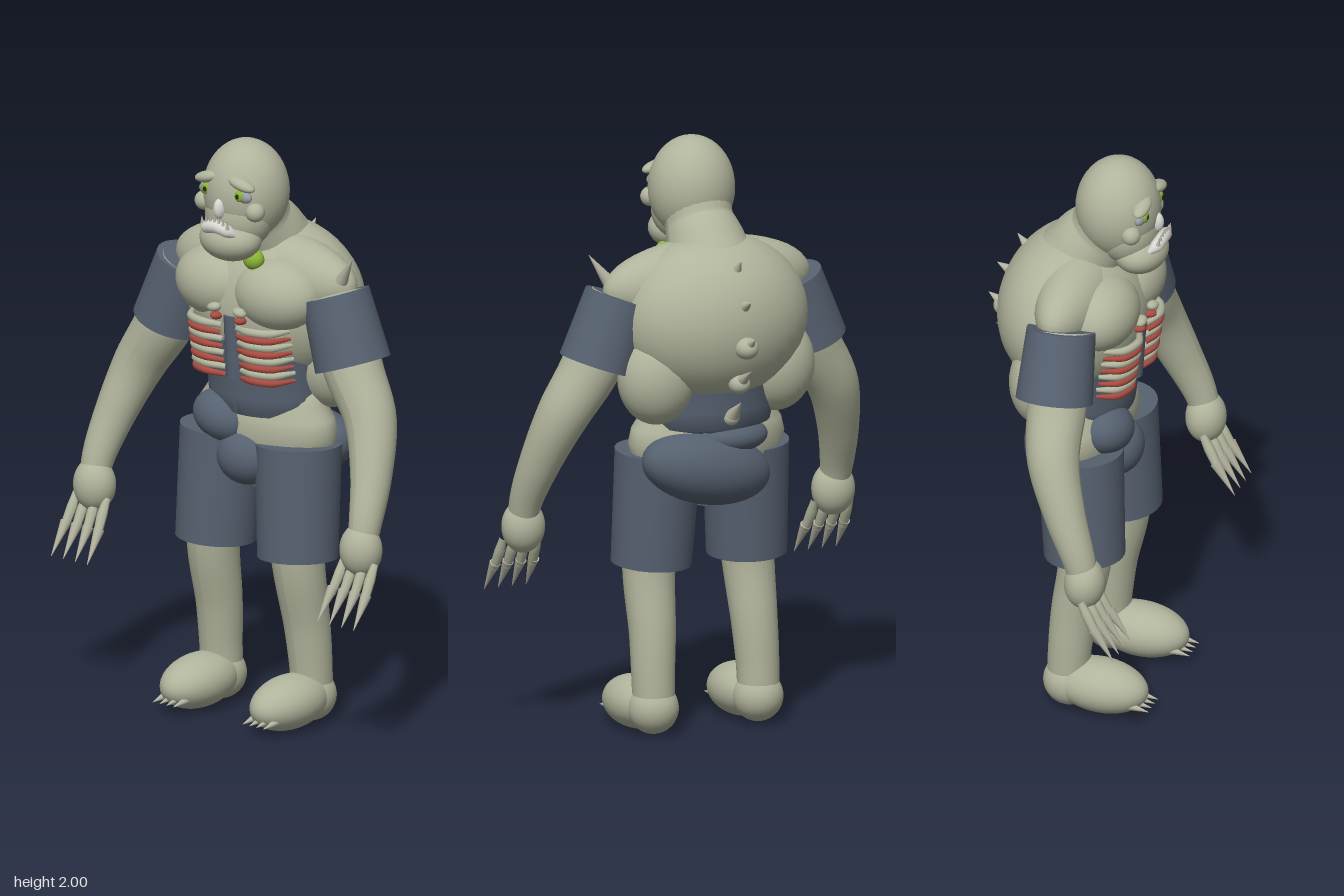
import * as THREE from 'three';

const mat = (name, color) => Object.assign(new THREE.MeshStandardMaterial({ color }), { name });

export function createModel() {
  const skin = mat('skin', 0xb1b49c), cloth = mat('cloth', 0x566170), red = mat('flesh red', 0xa84a40);
  const green = mat('slime green', 0x8cb436), white = mat('tooth white', 0xd8d6d2);
  const bone = mat('bone', 0xb4b3a0), dark = mat('pupil', 0x24261f), socket = mat('eye grey', 0x9aa0a4);
  const root = new THREE.Group();
  root.name = 'ghoul';

  const add = (name, geo, m) => {
    const mesh = new THREE.Mesh(geo, m);
    mesh.name = name;
    root.add(mesh);
    return mesh;
  };
  const ball = (name, m, [x, y, z], [a, b, c], tilt = 0) => {
    const mesh = add(name, new THREE.SphereGeometry(1, 36, 24), m);
    mesh.position.set(x, y, z);
    mesh.scale.set(a, b, c);
    mesh.rotation.z = tilt;
    return mesh;
  };
  // Tapered cylinder from a to b
  const rod = (name, m, a, b, ra, rb, sides = 32) => {
    const p = new THREE.Vector3(...a), q = new THREE.Vector3(...b), d = q.clone().sub(p);
    const mesh = add(name, new THREE.CylinderGeometry(rb, ra, d.length(), sides), m);
    mesh.position.copy(p).add(q).multiplyScalar(0.5);
    mesh.quaternion.setFromUnitVectors(new THREE.Vector3(0, 1, 0), d.normalize());
    return mesh;
  };
  // Smooth tube through [x, y, z, radius] stations
  const limb = (name, m, pts, seg = 32, sides = 24) => {
    const curve = new THREE.CatmullRomCurve3(pts.map(p => new THREE.Vector3(p[0], p[1], p[2])));
    const geo = new THREE.TubeGeometry(curve, seg, 1, sides);
    const pos = geo.attributes.position, v = new THREE.Vector3();
    for (let i = 0; i <= seg; i++) {
      const c = curve.getPointAt(i / seg);
      const t = curve.getUtoTmapping(i / seg) * (pts.length - 1);
      const k = Math.min(Math.floor(t), pts.length - 2);
      const r = THREE.MathUtils.lerp(pts[k][3], pts[k + 1][3], t - k);
      for (let j = 0; j <= sides; j++) {
        const n = i * (sides + 1) + j;
        v.fromBufferAttribute(pos, n).sub(c).multiplyScalar(r).add(c);
        pos.setXYZ(n, v.x, v.y, v.z);
      }
    }
    geo.computeVertexNormals();
    return add(name, geo, m);
  };
  // Elliptical body section from [radius, y] profile
  const section = (name, m, profile, depth, z) => {
    const geo = new THREE.LatheGeometry(profile.map(p => new THREE.Vector2(...p)), 48);
    geo.scale(1, 1, depth);
    geo.computeVertexNormals();
    add(name, geo, m).position.z = z;
  };

  // Torso
  ball('hump', skin, [0, 1.42, -0.04], [0.33, 0.28, 0.245]);
  ball('shoulders', skin, [0, 1.53, 0.01], [0.38, 0.15, 0.13]);
  section('shirt', cloth, [[0, 1.04], [0.18, 1.045], [0.215, 1.06], [0.225, 1.12], [0.225, 1.2],
    [0.25, 1.3], [0.26, 1.38], [0.2, 1.42], [0, 1.43]], 0.76, -0.005);
  section('hips', skin, [[0, 0.76], [0.08, 0.78], [0.18, 0.84], [0.26, 0.92], [0.282, 1.0],
    [0.27, 1.05], [0.235, 1.1], [0.22, 1.16], [0, 1.17]], 0.52, 0.01);
  ball('bellyPatch', cloth, [-0.1, 1.025, 0.11], [0.115, 0.085, 0.09], -0.25);
  ball('frontPatch', cloth, [0, 0.905, 0.11], [0.11, 0.098, 0.09]);
  ball('seatPatch', cloth, [0.05, 0.92, -0.085], [0.235, 0.125, 0.125], 0.22);
  ball('smallSeatPatch', cloth, [-0.04, 1.02, -0.09], [0.13, 0.06, 0.09]);
  rod('sternum', cloth, [0, 1.19, 0.165], [0, 1.41, 0.18], 0.034, 0.034, 16);

  for (const s of [-1, 1]) {
    ball('pectoral', skin, [s * 0.125, 1.485, 0.1], [0.165, 0.125, 0.125]);
    ball('flank', skin, [s * 0.22, 1.24, -0.06], [0.135, 0.16, 0.12]);

    // Exposed ribs with flesh between them
    for (let i = 0; i < 4; i++) {
      const y = 1.375 - i * 0.05, z = 0.222 - i * 0.008;
      const bar = (name, m, dy, r) => limb(name, m, [[s * 0.035, y + dy - 0.005, z - 0.02, r * 0.7],
        [s * 0.1, y + dy, z, r], [s * 0.17, y + dy, z - 0.025, r], [s * 0.21, y + dy + 0.006, z - 0.085, r * 0.5]], 16, 10);
      bar('rib', skin, 0, 0.014);
      bar('ribFlesh', red, -0.026, 0.012);
    }
    ball('topRib', skin, [s * 0.055, 1.432, 0.215], [0.026, 0.016, 0.02], s * -0.2);
    ball('topRibFlesh', red, [s * 0.052, 1.402, 0.205], [0.02, 0.014, 0.025]);

    // Arms
    rod('sleeve', cloth, [s * 0.395, 1.28, 0.035], [s * 0.315, 1.505, 0.03], 0.129, 0.115);
    limb('arm', skin, [[s * 0.31, 1.5, 0.03, 0.1], [s * 0.41, 1.27, 0.05, 0.1], [s * 0.5, 1.12, 0.07, 0.088],
      [s * 0.555, 0.95, 0.13, 0.07], [s * 0.58, 0.8, 0.19, 0.055], [s * 0.58, 0.7, 0.215, 0.045]]);
    ball('hand', skin, [s * 0.578, 0.715, 0.21], [0.074, 0.09, 0.068]);
    for (let i = 0; i < 4; i++) {
      const x = s * (0.515 + i * 0.044), tip = s * (0.5 + i * 0.052);
      const mid = (x + tip) / 2;
      limb('finger', skin, [[x, 0.68, 0.22, 0.012], [x, 0.63, 0.245, 0.018], [mid, 0.565, 0.28, 0.015]], 10, 12);
      rod('fingerClaw', bone, [mid, 0.585, 0.27], [tip, 0.48, 0.34], 0.019, 0.001, 14);
    }

    // Legs
    rod('trouserLeg', cloth, [s * 0.178, 0.58, 0.062], [s * 0.163, 0.965, 0.04], 0.135, 0.145);
    limb('leg', skin, [[s * 0.17, 0.8, 0.07, 0.1], [s * 0.185, 0.55, 0.065, 0.088], [s * 0.19, 0.35, 0.03, 0.078],
      [s * 0.195, 0.2, 0.015, 0.072], [s * 0.195, 0.1, 0.01, 0.07]]);
    ball('heel', skin, [s * 0.195, 0.095, 0.015], [0.085, 0.087, 0.088]);
    ball('foot', skin, [s * 0.195, 0.095, 0.125], [0.102, 0.09, 0.165]).rotation.x = 0.05;
    for (let i = 0; i < 4; i++) {
      const x = s * (0.15 + i * 0.03);
      rod('toeClaw', bone, [x, 0.06, 0.245], [x, 0.05, 0.31], 0.014, 0.001, 12);
    }

    // Face pairs
    ball('brow', skin, [s * 0.072, 1.882, 0.225], [0.055, 0.02, 0.028], s * -0.25);
    ball('eyeSocket', socket, [s * 0.07, 1.843, 0.221], [0.042, 0.025, 0.02], s * -0.2);
    ball('iris', green, [s * 0.07, 1.843, 0.236], [0.02, 0.02, 0.01]);
    ball('pupil', dark, [s * 0.07, 1.843, 0.244], [0.008, 0.009, 0.004]);
    ball('cheek', skin, [s * 0.11, 1.787, 0.2], [0.033, 0.033, 0.032]);
  }

  // Head
  limb('neck', skin, [[0, 1.56, -0.03, 0.17], [0, 1.65, 0.01, 0.135], [0, 1.72, 0.06, 0.115], [0, 1.8, 0.1, 0.12]]);
  ball('skull', skin, [0, 1.825, 0.115], [0.146, 0.176, 0.142]);
  ball('face', skin, [0, 1.75, 0.15], [0.122, 0.12, 0.105]);
  ball('jaw', skin, [0, 1.675, 0.195], [0.112, 0.074, 0.09]);
  ball('nose', white, [0, 1.79, 0.25], [0.02, 0.036, 0.025]);

  // Arched mouth with upward teeth
  limb('mouth', white, [[-0.07, 1.705, 0.245, 0.006], [-0.045, 1.722, 0.264, 0.022], [0, 1.732, 0.27, 0.022],
    [0.045, 1.722, 0.264, 0.022], [0.07, 1.705, 0.245, 0.006]], 24, 14);
  for (let i = -3; i <= 3; i++) {
    const x = i * 0.018, y = 1.742 - Math.abs(i) * 0.003;
    rod('tooth', bone, [x, y, 0.275], [x, y + 0.028, 0.279], 0.008, 0.001, 10);
  }
  ball('slimeDrop', green, [0.07, 1.608, 0.16], [0.038, 0.036, 0.032]);

  // Spikes on the left shoulder and along the spine
  rod('shoulderSpike', bone, [0.35, 1.56, 0.04], [0.412, 1.65, 0.058], 0.022, 0.001, 16);
  const spikes = [[1.615, -0.215, 1.645, -0.24, 0.014, 0], [1.5, -0.27, 1.52, -0.312, 0.018, 0],
    [1.36, -0.28, 1.4, -0.342, 0.028, 0.044], [1.228, -0.228, 1.287, -0.315, 0.026, 0.04],
    [1.1, -0.17, 1.165, -0.24, 0.028, 0.03]];
  for (const [y, z, ty, tz, r, knob] of spikes) {
    rod('spineSpike', bone, [0, y, z], [0, ty, tz], r, 0.001, 16);
    if (knob) ball('spineKnob', skin, [0, y, z], [knob * 0.9, knob * 0.85, knob]);
  }
  return root;
}
